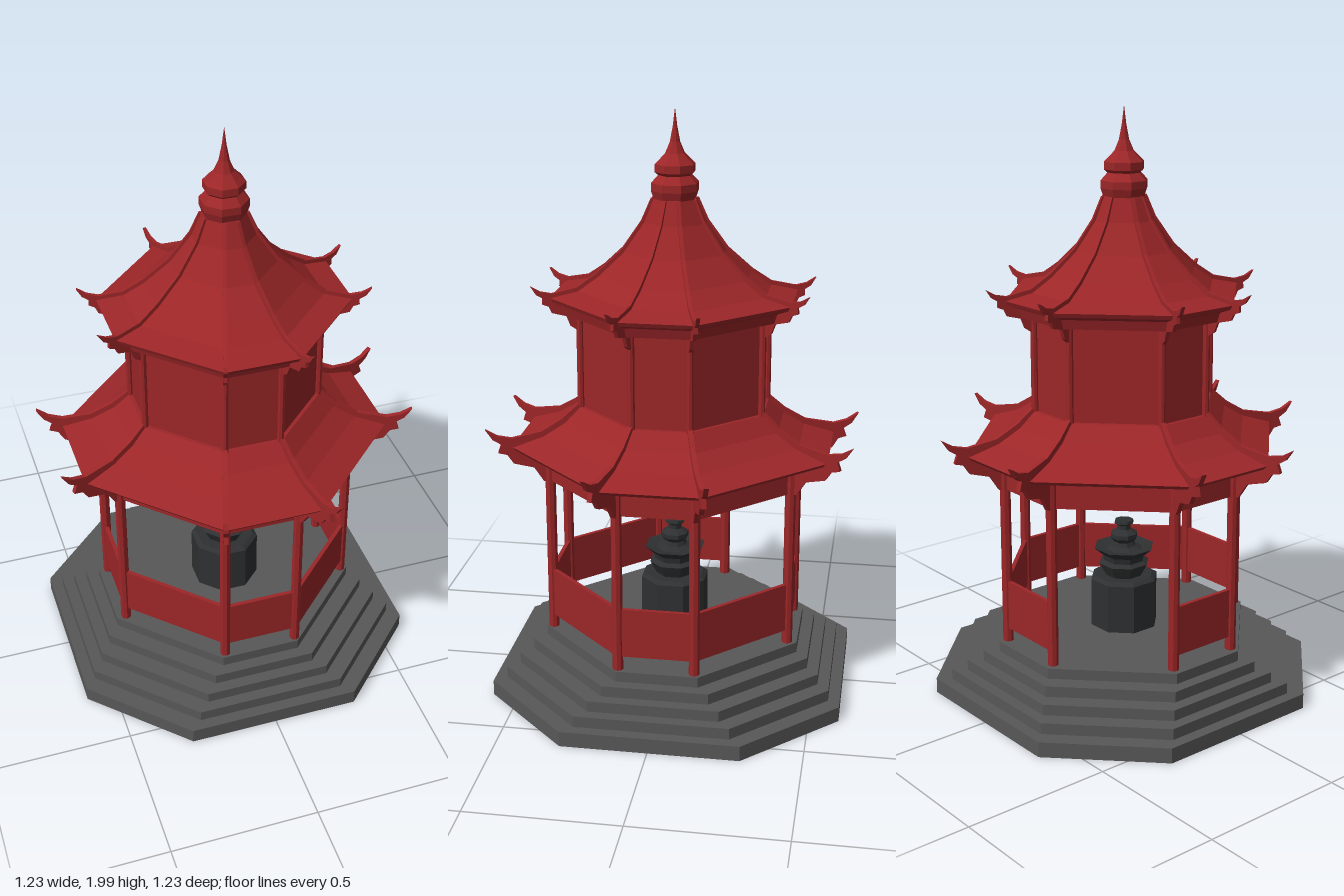
import * as THREE from 'three';

const T = 0.312; // half side / apothem of the pavilion octagon
const STRETCH = Math.hypot(1, T);
const mat = (color) => new THREE.MeshStandardMaterial({ color, flatShading: true, side: THREE.DoubleSide });

// Eight corners [x, z] of an octagon with flats on the axes
function corners(a, t = T) {
  const list = [];
  for (let k = 0; k < 4; k++) {
    const c = Math.round(Math.cos(k * Math.PI / 2)), s = Math.round(Math.sin(k * Math.PI / 2));
    for (const z of [-t * a, t * a]) list.push([a * c - z * s, a * s + z * c]);
  }
  return list;
}

// Octagonal shell through [apothem, y] points, listed from the bottom outwards and up
function shell(profile, t = T) {
  const pos = [], index = [];
  for (const [a, y] of profile) for (const [x, z] of corners(a, t)) pos.push(x, y, z);
  for (let i = 0; i < profile.length - 1; i++) {
    for (let k = 0; k < 8; k++) {
      const b0 = i * 8 + k, b1 = i * 8 + (k + 1) % 8;
      index.push(b0, b0 + 8, b1, b1, b0 + 8, b1 + 8);
    }
  }
  const g = new THREE.BufferGeometry();
  g.setAttribute('position', new THREE.Float32BufferAttribute(pos, 3));
  g.setIndex(index);
  const flat = g.toNonIndexed();
  flat.computeVertexNormals();
  return flat;
}

// Upright plate from an [apothem, y] outline, lying in the radial plane of a corner
function ridgePlate(outline, width) {
  const shape = new THREE.Shape(outline.map(([a, y]) => new THREE.Vector2(a * STRETCH, y)));
  const g = new THREE.ExtrudeGeometry(shape, { depth: width, bevelEnabled: false });
  return g.translate(0, 0, -width / 2);
}

export function createModel() {
  const model = new THREE.Group();
  const red = mat(0x9c2628), grey = mat(0x585858), dark = mat(0x2e3031);
  const add = (name, geometry, material, parent = model) => {
    const m = new THREE.Mesh(geometry, material);
    m.name = name;
    parent.add(m);
    return m;
  };
  const group = (name) => {
    const g = new THREE.Group();
    g.name = name;
    model.add(g);
    return g;
  };

  // Stepped plinth
  const plinth = group('steppedPlinth');
  plinth.position.set(-0.005, 0, -0.005);
  const levels = [0, 0.052, 0.09, 0.127, 0.164, 0.2];
  [0.595, 0.556, 0.517, 0.477, 0.437].forEach((a, i) => {
    const y0 = levels[i], y1 = levels[i + 1];
    add('step', shell([[0, y0], [a, y0], [a, y1], [0, y1]], (a - 0.3) / a), grey, plinth);
  });

  // Posts of both storeys
  const posts = group('posts');
  for (const [x, z] of corners(0.408)) {
    add('lowerPost', new THREE.CylinderGeometry(0.018, 0.018, 0.69, 8), red, posts).position.set(x, 0.545, z);
  }
  for (const [x, z] of corners(0.303)) {
    add('upperPost', new THREE.CylinderGeometry(0.012, 0.012, 0.35, 8), red, posts).position.set(x, 1.165, z);
  }

  // Balustrade panels, leaving the back corner side open as the entrance
  const rails = group('balustrade');
  const ring = corners(0.408);
  ring.forEach(([x, z], i) => {
    const [x2, z2] = ring[(i + 1) % 8];
    const mx = (x + x2) / 2, mz = (z + z2) / 2;
    if (mx < -0.1 && mz < -0.1) return;
    const panel = add('railPanel', new THREE.BoxGeometry(Math.hypot(x2 - x, z2 - z), 0.17, 0.014), red, rails);
    panel.position.set(mx, 0.333, mz);
    panel.rotation.y = -Math.atan2(z2 - z, x2 - x);
  });

  // Lower frieze and roof
  add('lowerFrieze', shell([[0.4, 0.9], [0.4, 0.745], [0.412, 0.745], [0.412, 0.9]]), red);
  add('lowerRoof', shell([
    [0.3, 0.985], [0.35, 0.935], [0.42, 0.89], [0.52, 0.858], [0.53, 0.87],
    [0.43, 0.905], [0.36, 0.95], [0.31, 1.003], [0.295, 1.003],
  ]), red);

  // Upper storey walls and roof
  add('upperWalls', shell([[0.297, 0.99], [0.297, 1.35]]), red);
  add('upperRoof', shell([
    [0.295, 1.32], [0.345, 1.32], [0.355, 1.352], [0.39, 1.366], [0.397, 1.38], [0.31, 1.4],
    [0.245, 1.447], [0.165, 1.525], [0.1, 1.622], [0.07, 1.7], [0, 1.7],
  ]), red);

  // Corner ridges with upturned tips and brackets beneath
  const lowerRidge = ridgePlate([
    [0.41, 0.745], [0.43, 0.745], [0.46, 0.795], [0.525, 0.813], [0.545, 0.845], [0.573, 0.852],
    [0.563, 0.882], [0.59, 0.9], [0.612, 0.935], [0.575, 0.912], [0.53, 0.902], [0.434, 0.922],
    [0.366, 0.965], [0.312, 1.015], [0.305, 0.99], [0.35, 0.94], [0.41, 0.89],
  ], 0.016);
  const upperRidge = ridgePlate([
    [0.3, 1.27], [0.312, 1.27], [0.333, 1.285], [0.345, 1.318], [0.39, 1.33], [0.4, 1.352], [0.42, 1.36],
    [0.418, 1.38], [0.438, 1.392], [0.455, 1.42], [0.425, 1.402], [0.39, 1.395], [0.312, 1.413],
    [0.25, 1.457], [0.17, 1.533], [0.106, 1.627], [0.075, 1.7], [0.06, 1.7],
    [0.09, 1.62], [0.155, 1.525], [0.235, 1.44], [0.3, 1.39],
  ], 0.012);
  const ridges = group('cornerRidges');
  for (const [x, z] of corners(1)) {
    const angle = -Math.atan2(z, x);
    add('lowerRidge', lowerRidge, red, ridges).rotation.y = angle;
    add('upperRidge', upperRidge, red, ridges).rotation.y = angle;
  }

  // Faceted roof finial
  add('finial', shell([
    [0, 1.69], [0.063, 1.69], [0.074, 1.725], [0.074, 1.75], [0.052, 1.775], [0.063, 1.785],
    [0.063, 1.81], [0.048, 1.825], [0.03, 1.845], [0.016, 1.88], [0.007, 1.93], [0, 1.99],
  ], 0.414), red);

  // Burner on its pedestal
  add('pedestal', shell([[0, 0.2], [0.11, 0.2], [0.11, 0.37], [0.095, 0.38], [0, 0.38]], 0.414), dark);
  add('burner', shell([
    [0, 0.38], [0.06, 0.38], [0.075, 0.41], [0.082, 0.425], [0.066, 0.435], [0.07, 0.455], [0.098, 0.482],
    [0.06, 0.475], [0.038, 0.485], [0.032, 0.5], [0.044, 0.515], [0.044, 0.53], [0.022, 0.545],
    [0.022, 0.56], [0.032, 0.568], [0.03, 0.577], [0, 0.577],
  ], 0.414), dark);

  return model;
}
